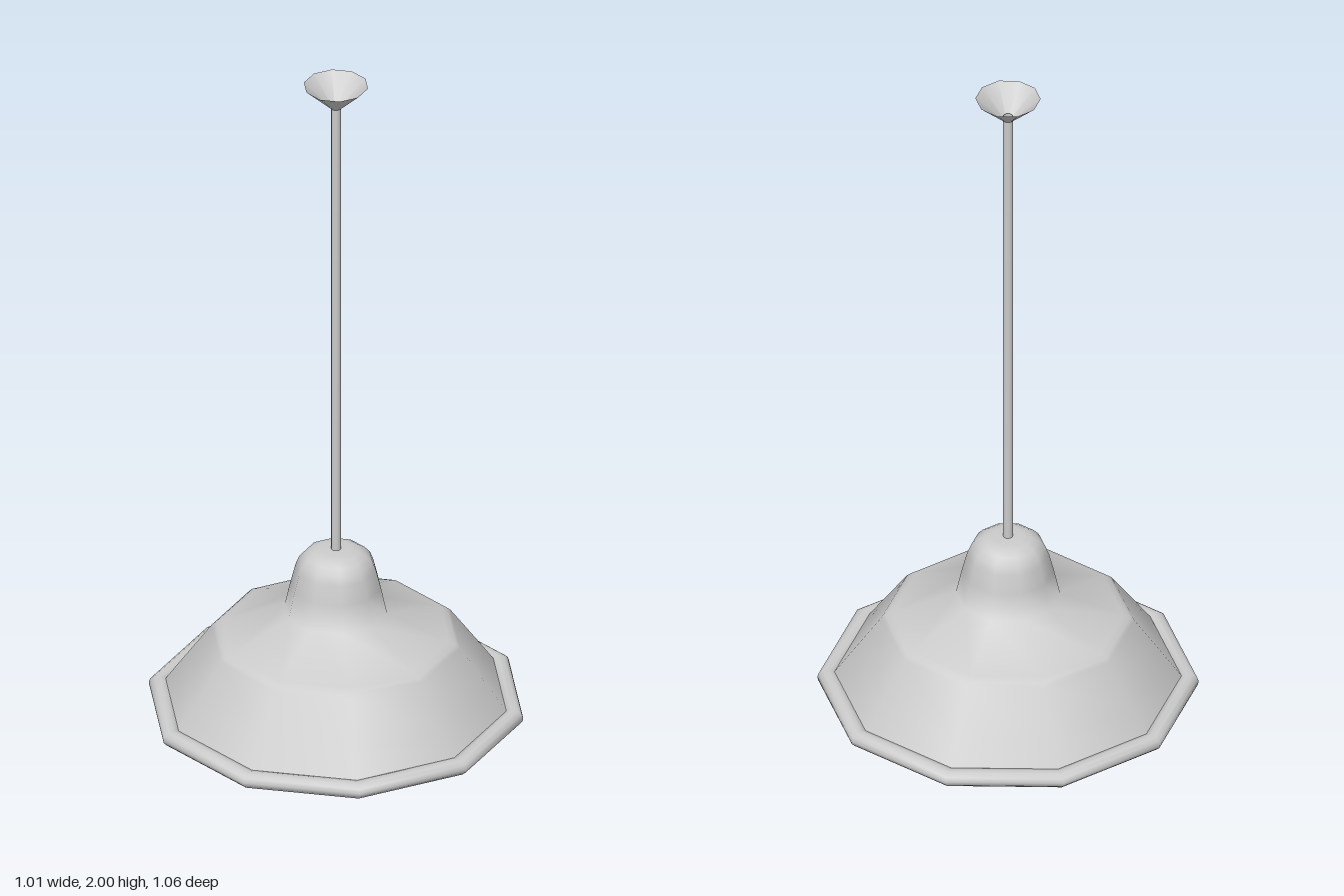
import * as THREE from 'three';

const SIDES = 10;

export function createModel() {
  const group = new THREE.Group();
  const material = new THREE.MeshStandardMaterial({ color: 0xcccccc, side: THREE.DoubleSide });

  // Turned part from [radius, height] pairs, listed from bottom to top
  const turned = (name, profile, sides = SIDES) => {
    const points = profile.map(([r, y]) => new THREE.Vector2(r, y));
    const mesh = new THREE.Mesh(new THREE.LatheGeometry(points, sides), material);
    mesh.name = name;
    group.add(mesh);
    return mesh;
  };

  // Shade: flared skirt, shallow shoulder and rounded neck
  turned('shade', [
    [0.487, 0.04], [0.437, 0.112], [0.352, 0.232], [0.341, 0.242], [0.322, 0.251],
    [0.145, 0.322], [0.128, 0.4], [0.114, 0.455], [0.104, 0.48],
    [0.088, 0.498], [0.068, 0.51], [0.045, 0.515], [0, 0.515],
  ]);

  // Rolled rim, a closed rounded section around the skirt
  turned('rim', [
    [0.475, 0.012], [0.485, 0.003], [0.5, 0], [0.517, 0.006], [0.529, 0.017], [0.531, 0.028],
    [0.527, 0.04], [0.515, 0.049], [0.498, 0.05], [0.482, 0.045], [0.475, 0.03], [0.475, 0.012],
  ]);

  // Hanging rod
  const rod = new THREE.Mesh(new THREE.CylinderGeometry(0.014, 0.014, 1.43, SIDES, 1, true), material);
  rod.name = 'rod';
  rod.position.y = 1.225;
  group.add(rod);

  // Ceiling mount, an open cone
  turned('ceilingMount', [[0.008, 1.922], [0.091, 2]]);

  // Lamp holder and bulb inside the shade
  turned('socket', [[0.05, 0.21], [0.058, 0.22], [0.058, 0.4], [0, 0.4]], 16);
  turned('bulb', [
    [0, 0.07], [0.027, 0.075], [0.049, 0.09], [0.065, 0.113], [0.07, 0.14],
    [0.066, 0.163], [0.056, 0.183], [0.046, 0.205], [0.043, 0.24],
  ], 20);

  return group;
}
